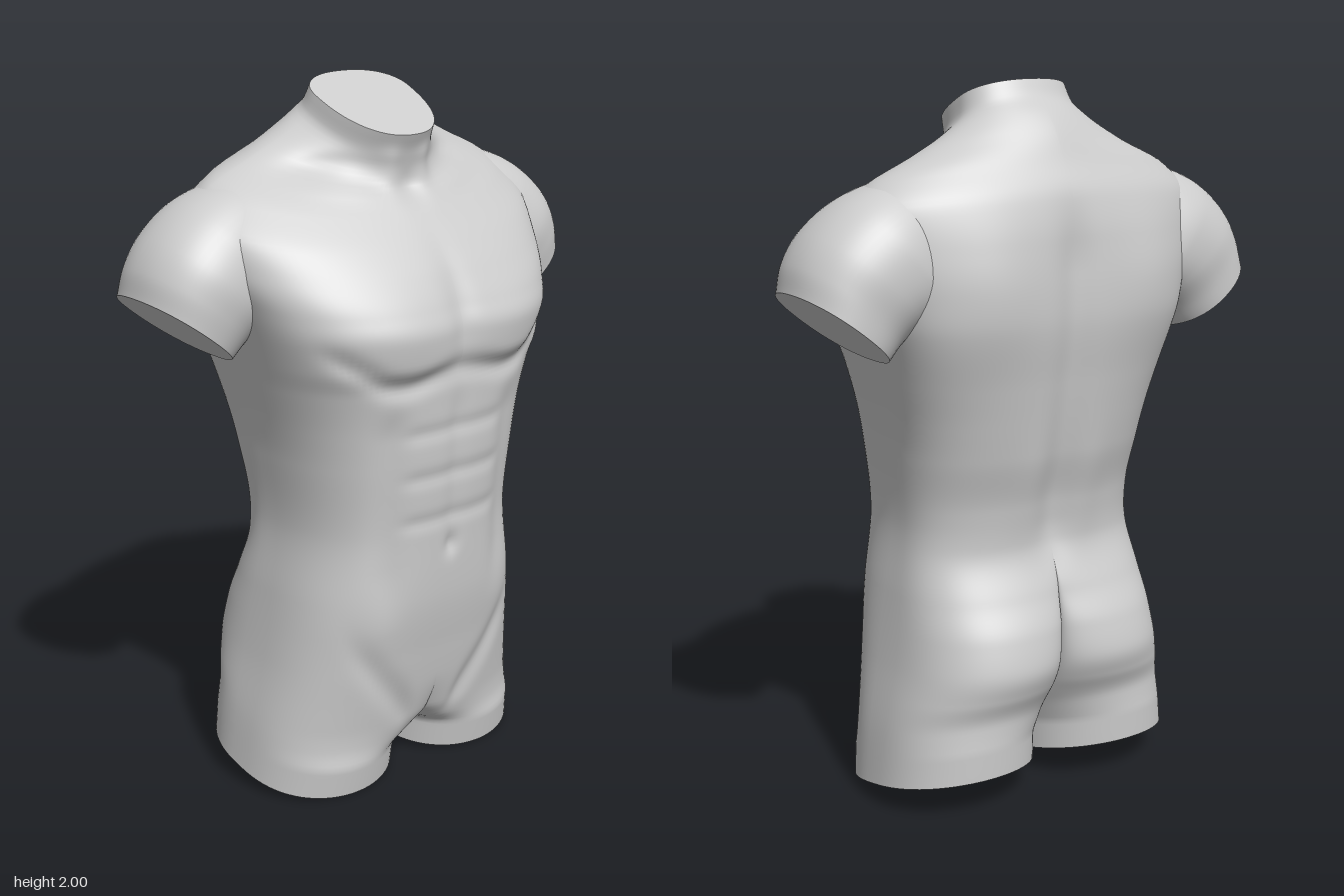
import * as THREE from 'three';

const M = 80;                 // points on half a torso ring
const bell = (d, s) => Math.exp(-(d * d) / (s * s));
const ramp = (a, b, v) => THREE.MathUtils.smoothstep(v, a, b);
const mix = THREE.MathUtils.lerp;

// Smooth curve through [height, value] keys that never overshoots them.
function profile(keys) {
  const secant = (i) => (keys[i + 1][1] - keys[i][1]) / (keys[i + 1][0] - keys[i][0]);
  const slope = keys.map((k, i) => {
    if (i === 0) return secant(0);
    if (i === keys.length - 1) return secant(i - 1);
    const a = secant(i - 1), b = secant(i);
    return a * b <= 0 ? 0 : (2 * a * b) / (a + b);
  });
  return (y) => {
    let i = 0;
    while (i < keys.length - 2 && y > keys[i + 1][0]) i++;
    const h = keys[i + 1][0] - keys[i][0];
    const t = THREE.MathUtils.clamp((y - keys[i][0]) / h, 0, 1), t2 = t * t, t3 = t2 * t;
    return (2 * t3 - 3 * t2 + 1) * keys[i][1] + (t3 - 2 * t2 + t) * h * slope[i]
      + (3 * t2 - 2 * t3) * keys[i + 1][1] + (t3 - t2) * h * slope[i + 1];
  };
}

// Body proportions by height.
const halfWidth = profile([[0.043, 0.476], [0.2, 0.457], [0.4, 0.42], [0.6, 0.39], [0.8, 0.365], [1, 0.385],
  [1.22, 0.435], [1.36, 0.475], [1.45, 0.505], [1.55, 0.545], [1.63, 0.56], [1.71, 0.49], [1.77, 0.35],
  [1.82, 0.245], [1.87, 0.178], [1.93, 0.165]]);
const frontZ = profile([[0.043, 0.21], [0.2, 0.238], [0.4, 0.285], [0.6, 0.318], [0.8, 0.33], [1, 0.343],
  [1.22, 0.352], [1.29, 0.368], [1.36, 0.368], [1.45, 0.348], [1.55, 0.31], [1.63, 0.265], [1.71, 0.2],
  [1.77, 0.14], [1.82, 0.128], [1.87, 0.135], [1.93, 0.155]]);
const backZ = profile([[0.043, -0.325], [0.2, -0.33], [0.3, -0.36], [0.4, -0.377], [0.5, -0.358], [0.6, -0.312],
  [0.74, -0.263], [0.85, -0.272], [1, -0.31], [1.2, -0.345], [1.4, -0.37], [1.55, -0.36], [1.63, -0.34],
  [1.71, -0.295], [1.77, -0.26], [1.82, -0.222], [1.87, -0.178], [1.93, -0.15]]);
const squareness = profile([[0.043, 2.8], [0.5, 2.8], [0.8, 2.6], [1.1, 2.7], [1.36, 3.1], [1.45, 2.9],
  [1.55, 2.4], [1.63, 2.1], [1.71, 1.8], [1.77, 1.6], [1.82, 1.75], [1.87, 2.2], [1.93, 2.3]]);
const sideZ = profile([[0.043, -0.055], [0.8, -0.04], [1.4, -0.08], [1.75, -0.1], [1.93, -0.05]]);
const tilt = profile([[0.043, -0.205], [0.2, -0.18], [0.45, 0], [1.36, 0], [1.45, -0.05], [1.55, -0.12],
  [1.63, -0.2], [1.71, -0.28], [1.77, -0.36], [1.82, -0.42], [1.87, -0.46], [1.93, -0.459]]);
// How far the section is pinched into two legs, front and back.
const pinchFront = profile([[0.13, 1], [0.18, 0.35], [0.24, 0.08], [0.34, 0], [2, 0]]);
const pinchBack = profile([[0.13, 1], [0.18, 0.75], [0.24, 0.52], [0.32, 0.38], [0.42, 0.3], [0.52, 0.2],
  [0.62, 0.08], [0.72, 0], [2, 0]]);

// Muscle relief of the front, as an offset in z.
function frontRelief(x, y) {
  const a = Math.abs(x);
  const crease = 1.265 - 0.03 * bell(a - 0.18, 0.1) + 0.9 * Math.max(0, a - 0.24) ** 1.3;
  const belly = ramp(0.7, 0.8, y) * (1 - ramp(1.12, 1.24, y));
  let z = 0.014 * bell(a - 0.18, 0.15) * bell(y - 1.38, 0.1);                 // chest
  z -= 0.016 * bell(y - crease, 0.032) * (1 - ramp(0.34, 0.44, a));
  z -= 0.014 * bell(x, 0.045) * bell(y - 1.4, 0.15);                         // breastbone
  z -= 0.007 * bell(x, 0.035) * belly;                                       // abdomen
  z -= 0.012 * bell(a - 0.21, 0.045) * ramp(0.5, 0.7, y) * (1 - ramp(1.08, 1.2, y));
  for (const line of [0.83, 0.96, 1.09]) z -= 0.006 * bell(y - line, 0.022) * (1 - ramp(0.13, 0.2, a));
  z -= 0.012 * bell(x, 0.025) * bell(y - 0.74, 0.03);                        // navel
  z -= 0.014 * bell(y - 0.2 - 1.25 * (a - 0.08), 0.06) * ramp(0.05, 0.12, a) * (1 - ramp(0.22, 0.34, a));
  z += 0.012 * bell(y - 1.69 - 0.15 * a, 0.025) * bell(a - 0.18, 0.12);      // collarbones
  z -= 0.025 * bell(a - 0.25, 0.07) * bell(y - 1.785, 0.03);
  z -= 0.014 * bell(x, 0.035) * bell(y - 1.72, 0.035);
  return z + 0.01 * bell(a - 0.06, 0.03) * bell(y - 1.77, 0.06);             // neck muscles
}

// Spine groove and shoulder blades of the back.
function backRelief(x, y) {
  const a = Math.abs(x);
  return 0.022 * bell(x, 0.06) * ramp(0.62, 0.8, y) * (1 - ramp(1.5, 1.75, y))
    - 0.016 * bell(a - 0.25, 0.12) * bell(y - 1.48, 0.17)
    - 0.008 * bell(a - 0.1, 0.06) * bell(y - 0.9, 0.15);
}

// One torso ring: front centre, round the left side, back centre, round the right side.
function torsoRing(h) {
  const w = halfWidth(h), n = squareness(h), mid = sideZ(h), half = [];
  for (let j = 0; j <= M; j++) {
    const front = j <= M / 2;
    const u = (1 - Math.cos((2 * Math.PI * j) / M)) / 2;
    const body = Math.max(0, 1 - u ** n) ** (1 / n);
    const leg = Math.max(0, 1 - (2 * u - 1) ** 2) ** 0.4;
    const depth = mix(body, leg, front ? pinchFront(h) : pinchBack(h));
    const z = mid + ((front ? frontZ(h) : backZ(h)) - mid) * depth;
    const x = w * u, y = h + tilt(h) * z;
    const relief = front ? frontRelief(x, y) : backRelief(x, y);
    half.push(new THREE.Vector3(x, y, z + relief * Math.min(1, depth * 1.5) * ramp(0.14, 0.25, h)
      * (1 - ramp(1.86, 1.92, h))));
  }
  const mirrored = half.slice(1, M).reverse().map((p) => new THREE.Vector3(-p.x, p.y, p.z));
  return half.concat(mirrored);
}

function surface(points, index) {
  const g = new THREE.BufferGeometry().setFromPoints(points);
  g.setIndex(index);
  g.computeVertexNormals();
  return g;
}

// Closed skin through equal rings.
function skin(rings) {
  const n = rings[0].length, index = [];
  for (let i = 0; i < rings.length - 1; i++) {
    for (let j = 0; j < n; j++) {
      const k = (j + 1) % n, a = i * n, b = a + n;
      index.push(a + j, a + k, b + k, a + j, b + k, b + j);
    }
  }
  return surface(rings.flat(), index);
}

// Flat cut across a ring, filled in strips.
function cut(ring, flip) {
  const n = ring.length, m = n / 2, index = [];
  for (const s of [0, m]) {
    for (let k = 0; k < m / 2; k++) {
      const [a, b, c, d] = [s + k, s + k + 1, s + m - k - 1, s + m - k].map((v) => v % n);
      index.push(...(flip ? [a, c, b, a, d, c] : [a, b, c, a, c, d]));
    }
  }
  return surface(ring, index);
}

// Shoulder and upper arm: rings spanned between an outer and an inner line.
function armRings(side) {
  const line = (pts) => new THREE.CatmullRomCurve3(pts.map(([x, y]) => new THREE.Vector3(x, y, 0)));
  const outer = line([[0.34, 1.755], [0.46, 1.745], [0.575, 1.7], [0.665, 1.625], [0.712, 1.55], [0.73, 1.48]]);
  const inner = line([[0.25, 1.48], [0.28, 1.42], [0.32, 1.38], [0.38, 1.36], [0.435, 1.325], [0.48, 1.28]]);
  const depth = line([[-0.11, 0.11], [-0.11, 0.165], [-0.11, 0.192], [-0.105, 0.197], [-0.105, 0.188], [-0.11, 0.18]]);
  const rings = [], steps = 40, n = 64;
  for (let i = 0; i <= steps; i++) {
    const o = outer.getPoint(i / steps), q = inner.getPoint(i / steps), d = depth.getPoint(i / steps);
    const ring = [];
    for (let j = 0; j < n; j++) {
      const a = (2 * Math.PI * j) / n, c = Math.cos(a), s = Math.sin(a);
      const r = (Math.abs(c) ** 2.2 + Math.abs(s) ** 2.2) ** (-1 / 2.2);
      const t = (1 + r * c) / 2;
      ring.push(new THREE.Vector3(side * mix(q.x, o.x, t), mix(q.y, o.y, t), d.x + d.y * r * s));
    }
    rings.push(side > 0 ? ring : ring.reverse());
  }
  return rings;
}

export function createModel() {
  const model = new THREE.Group();
  model.name = 'torsoSculpture';
  const material = new THREE.MeshStandardMaterial({ color: 0xcccccc });
  const add = (name, geometry) => {
    const mesh = new THREE.Mesh(geometry, material);
    mesh.name = name;
    model.add(mesh);
  };

  // Neck, trunk and thighs in one skin
  const rows = 150, rings = [];
  for (let i = 0; i <= rows; i++) rings.push(torsoRing(mix(0.043, 1.93, i / rows)));
  add('trunk', skin(rings));
  add('neckCut', cut(rings[rows], false));
  add('thighCuts', cut(rings[0], true));

  // Arms
  for (const [name, side] of [['left', 1], ['right', -1]]) {
    const arm = armRings(side);
    add(name + 'UpperArm', skin(arm));
    add(name + 'ArmCut', cut(arm[arm.length - 1], false));
  }
  return model;
}
